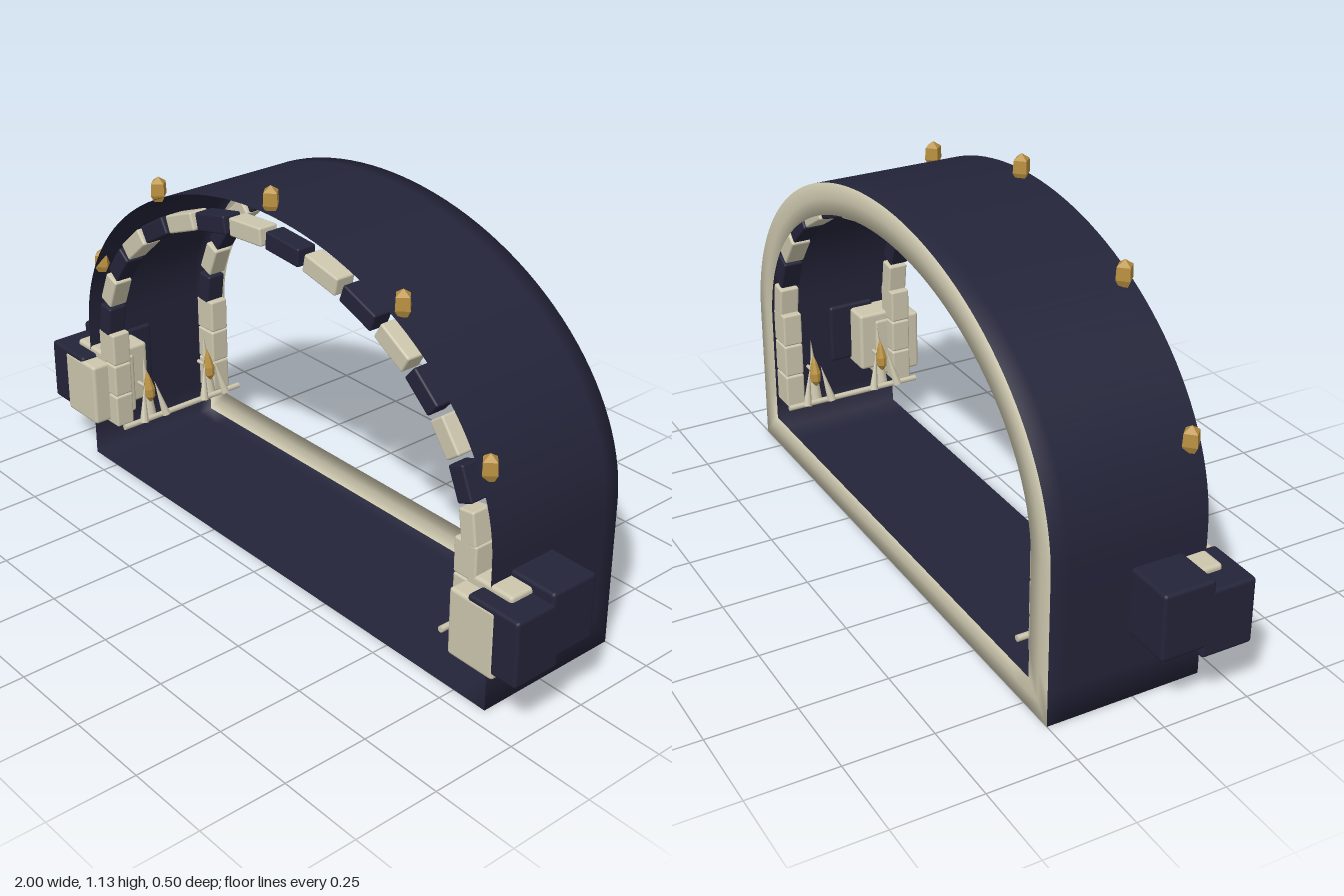
import * as THREE from 'three';
import { RoundedBoxGeometry } from 'three/addons/geometries/RoundedBoxGeometry.js';

const material = (name, color, extra = {}) =>
  Object.assign(new THREE.MeshStandardMaterial({ color, ...extra }), { name });

export function createModel() {
  const model = new THREE.Group();
  model.name = 'archway';
  const navy = material('navy', 0x24243a, { side: THREE.DoubleSide });
  const ivory = material('ivory', 0xcdc7ae, { side: THREE.DoubleSide });
  const gold = material('gold', 0xb8903f, { flatShading: true });

  const add = (parent, name, geometry, mat, x = 0, y = 0, z = 0) => {
    const mesh = new THREE.Mesh(geometry, mat);
    mesh.name = name;
    mesh.position.set(x, y, z);
    parent.add(mesh);
    return mesh;
  };
  // Rounded box given by its limits on each axis
  const block = (parent, name, mat, [x0, x1], [y0, y1], [z0, z1], r = 0.01) =>
    add(parent, name, new RoundedBoxGeometry(x1 - x0, y1 - y0, z1 - z0, 2, r), mat,
      (x0 + x1) / 2, (y0 + y1) / 2, (z0 + z1) / 2);

  // Arch outline, counterclockwise from the lower left corner
  const SPRING = 0.43, ARC = 64;
  const outline = (inset) => {
    const w = 0.86 - inset, b = 0.64 - inset, y0 = inset;
    const pts = [[-w, y0], [-w + 0.1, y0], [w - 0.1, y0], [w, y0], [w, y0 + 0.1]];
    for (let i = 0; i <= ARC; i++) {
      const a = (i / ARC) * Math.PI;
      pts.push([w * Math.cos(a), SPRING + b * Math.sin(a)]);
    }
    pts.push([-w, y0 + 0.1]);
    return pts;
  };

  // Thin vault shell and back rim, from loops of [inset, z, outward normal, z normal]
  const sweep = (name, mat, loops) => {
    const pos = [], nor = [], index = [];
    const n = outline(0).length;
    loops.forEach(([inset, z, out, nz], k) => {
      const pts = outline(inset);
      pts.forEach(([x, y], i) => {
        const p = pts[(i + n - 1) % n], q = pts[(i + 1) % n];
        const t1 = new THREE.Vector2(x - p[0], y - p[1]).normalize();
        const t = new THREE.Vector2(q[0] - x, q[1] - y).normalize().add(t1).normalize();
        pos.push(x, y, z);
        nor.push(t.y * out, -t.x * out, nz);
        if (k < loops.length - 1) {
          const a = k * n + i, b = k * n + (i + 1) % n;
          index.push(a, a + n, b, b, a + n, b + n);
        }
      });
    });
    const g = new THREE.BufferGeometry();
    g.setAttribute('position', new THREE.Float32BufferAttribute(pos, 3));
    g.setAttribute('normal', new THREE.Float32BufferAttribute(nor, 3));
    g.setIndex(index);
    add(model, name, g, mat);
  };
  sweep('vaultShell', navy, [[0, 0.2, 1, 0], [0, -0.2, 1, 0], [0, -0.25, 0.7, -0.7]]);
  sweep('backRim', ivory, [[0, -0.25, 0.7, -0.7], [0.045, -0.25, 0, -1], [0.09, -0.25, -0.7, -0.7]]);

  // Two rows of alternating arch stones
  const STONES = 16, A = 0.775, B = 0.557;
  for (const z of [0.17, -0.2]) {
    const arch = new THREE.Group();
    arch.name = z > 0 ? 'frontStoneArch' : 'backStoneArch';
    model.add(arch);
    for (let i = 0; i < STONES; i++) {
      const a = ((i + 0.5) / STONES) * Math.PI;
      const dx = -A * Math.sin(a), dy = B * Math.cos(a);
      const length = Math.hypot(dx, dy) * (Math.PI / STONES) * 0.87;
      const stone = add(arch, 'archStone', new RoundedBoxGeometry(length, 0.052, 0.06, 2, 0.006),
        i % 2 ? navy : ivory, A * Math.cos(a), 0.435 + B * Math.sin(a), z);
      stone.rotation.z = Math.atan2(dy, dx);
    }
  }

  // Pointed four-sided studs along the front edge of the vault
  const studProfile = [[0, -0.037], [0.016, -0.034], [0.027, -0.015], [0.025, 0.02], [0, 0.037]]
    .map(([r, y]) => new THREE.Vector2(r, y));
  const studGeometry = new THREE.LatheGeometry(studProfile, 4);
  for (const [x, y] of [[-0.81, 0.665], [-0.5, 0.98], [0, 1.098], [0.5, 0.98], [0.81, 0.665]])
    add(model, 'stud', studGeometry, gold, x, y, 0.17);

  // Side details, mirrored by position
  const tall = new THREE.ConeGeometry(0.02, 0.2, 8);
  const leaf = new THREE.ConeGeometry(0.014, 0.12, 8);
  const flameProfile = [[0, -0.05], [0.016, -0.03], [0.018, -0.005], [0.009, 0.03], [0, 0.055]]
    .map(([r, y]) => new THREE.Vector2(r, y));
  const flame = new THREE.LatheGeometry(flameProfile, 8);
  for (const s of [1, -1]) {
    const side = new THREE.Group();
    side.name = s > 0 ? 'leftSide' : 'rightSide';
    model.add(side);
    const span = (a, b) => (s > 0 ? [a, b] : [-b, -a]);

    // Stacked pillars under both stone arches
    for (const z of [0.17, -0.2])
      for (let i = 0; i < 3; i++)
        block(side, 'pillarBlock', ivory, span(0.73, 0.807),
          [0.14 + i * 0.104, 0.242 + i * 0.104], [z - 0.03, z + 0.03], 0.006);

    // Overlapping outer blocks
    block(side, 'frontOuterBlock', navy, span(0.83, 1), [0.165, 0.355], [0.1, 0.25]);
    block(side, 'frontInnerBlock', ivory, span(0.77, 0.925), [0.15, 0.345], [0.1, 0.252]);
    block(side, 'rearOuterBlock', navy, span(0.85, 1), [0.195, 0.385], [-0.02, 0.13]);
    block(side, 'rearInnerBlock', ivory, span(0.775, 0.93), [0.18, 0.37], [0.05, 0.2]);

    // Rail with two flame ornaments
    const rail = add(side, 'rail', new THREE.CylinderGeometry(0.009, 0.009, 0.44, 8), ivory,
      s * 0.695, 0.155, -0.02);
    rail.rotation.x = Math.PI / 2;
    for (const z of [0.09, -0.14]) {
      const spike = add(side, 'tallSpike', tall, ivory, s * 0.728, 0.255, z);
      spike.rotation.z = -s * 0.12;
      add(side, 'flame', flame, gold, s * 0.715, 0.25, z).rotation.z = -s * 0.15;
      const bar = add(side, 'bracket', new THREE.CylinderGeometry(0.006, 0.006, 0.06, 8), ivory,
        s * 0.74, 0.245, z);
      bar.rotation.z = Math.PI / 2;
      for (const d of [-1, 1]) {
        const l = add(side, 'leaf', leaf, ivory, s * 0.7, 0.21, z + d * 0.03);
        l.rotation.set(-d * 0.2, 0, -s * 0.2);
      }
    }
  }
  return model;
}
